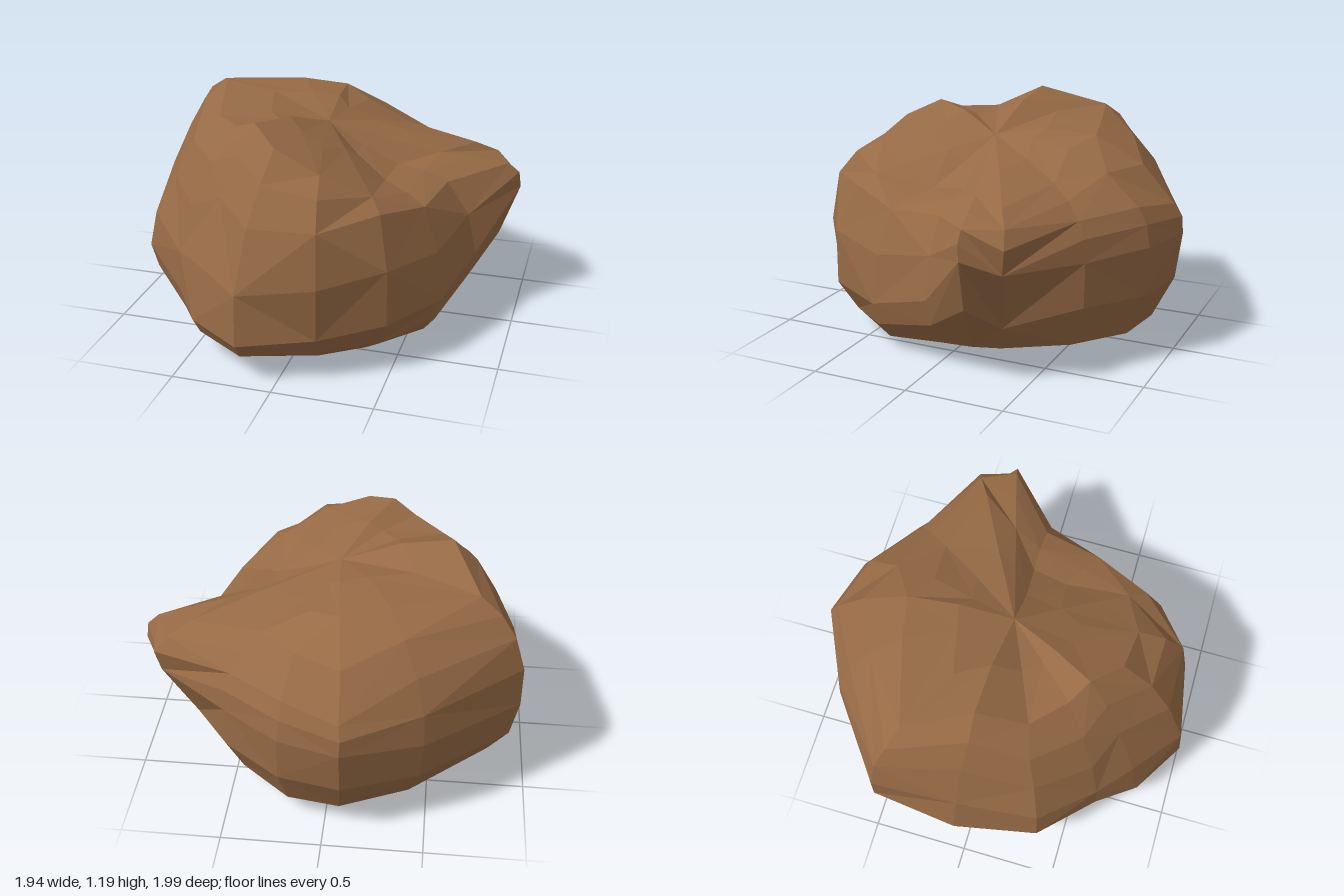
import * as THREE from 'three';

// Each meridian: angle in degrees (from +x towards +z), then radius and height
// of the foot, the widest point, the shoulder and the crown.
const MERIDIANS = [
  [0, 0.66, 0.12, 0.79, 0.38, 0.63, 0.76, 0.37, 0.83],
  [28, 0.67, 0.07, 0.77, 0.27, 0.65, 0.74, 0.39, 0.81],
  [55, 0.58, 0.01, 0.84, 0.27, 0.73, 0.80, 0.48, 0.89],
  [78, 0.68, 0.04, 0.89, 0.24, 0.87, 0.78, 0.62, 0.97],
  [100, 0.84, 0.09, 1.01, 0.22, 0.87, 0.77, 0.59, 1.07],
  [119, 0.80, 0.10, 0.94, 0.23, 0.74, 0.82, 0.51, 1.14],
  [134, 0.78, 0.10, 0.87, 0.28, 0.78, 0.72, 0.52, 1.09],
  [157, 0.82, 0.13, 0.95, 0.38, 0.80, 0.77, 0.56, 1.08],
  [183, 0.85, 0.18, 0.97, 0.45, 0.79, 0.93, 0.565, 1.20],
  [207, 0.90, 0.18, 1.05, 0.55, 0.99, 0.93, 0.79, 1.10],
  [240, 0.82, 0.14, 0.95, 0.55, 0.85, 0.88, 0.56, 1.10],
  [265, 0.86, 0.14, 1.00, 0.60, 0.95, 0.75, 0.54, 1.07],
  [283, 0.83, 0.13, 0.94, 0.60, 0.87, 0.79, 0.46, 1.02],
  [306, 0.75, 0.13, 0.86, 0.58, 0.80, 0.77, 0.58, 0.90],
  [333, 0.70, 0.13, 0.89, 0.44, 1.00, 0.72, 0.80, 0.86],
  [344.5, 0.69, 0.13, 1.01, 0.67, 0.94, 0.80, 0.58, 0.86],
];
const ROWS = 10;

// Small repeatable offset that roughens the facets
function noise(i, j) {
  const s = Math.sin(i * 127.1 + j * 311.7) * 43758.5453;
  return (s - Math.floor(s) - 0.5) * 2;
}

// Spline from the underside centre to the top centre; the rows between the
// given points are roughened
function meridianPoints([degrees, ...p], column) {
  const angle = THREE.MathUtils.degToRad(degrees);
  const at = (r, y) => new THREE.Vector3(r * Math.cos(angle), y, r * Math.sin(angle));
  const knots = [at(0, 0.06)];
  for (let k = 0; k < p.length; k += 2) knots.push(at(p[k], p[k + 1]));
  knots.push(at(0, 1.03));
  const points = new THREE.CatmullRomCurve3(knots, false, 'centripetal').getPoints(ROWS);
  for (let j = 3; j < ROWS; j += 2) {
    points[j].x += 0.01 * noise(column, j);
    points[j].y += 0.01 * noise(column + 31, j);
    points[j].z += 0.01 * noise(column + 67, j);
  }
  return points;
}

function rockGeometry() {
  const positions = [];
  const columns = MERIDIANS.map(meridianPoints);
  columns.forEach((points) => points.forEach((v) => positions.push(v.x, v.y, v.z)));

  const indices = [];
  const n = columns.length;
  const id = (i, j) => (i % n) * (ROWS + 1) + j;
  for (let i = 0; i < n; i++) {
    for (let j = 0; j < ROWS; j++) {
      const a = id(i, j), b = id(i, j + 1), c = id(i + 1, j + 1), d = id(i + 1, j);
      // Alternate the diagonals; the poles take a single triangle
      if (j === 0) indices.push(a, b, c);
      else if (j === ROWS - 1) indices.push(a, b, d);
      else if ((i + j) % 2) indices.push(a, b, c, a, c, d);
      else indices.push(a, b, d, b, c, d);
    }
  }
  const geometry = new THREE.BufferGeometry();
  geometry.setAttribute('position', new THREE.Float32BufferAttribute(positions, 3));
  geometry.setIndex(indices);
  geometry.computeVertexNormals();
  return geometry;
}

export function createModel() {
  const group = new THREE.Group();
  group.name = 'boulder';
  const material = new THREE.MeshStandardMaterial({ color: 0x966a45, flatShading: true });
  const rock = new THREE.Mesh(rockGeometry(), material);
  rock.name = 'rock';
  group.add(rock);
  return group;
}
